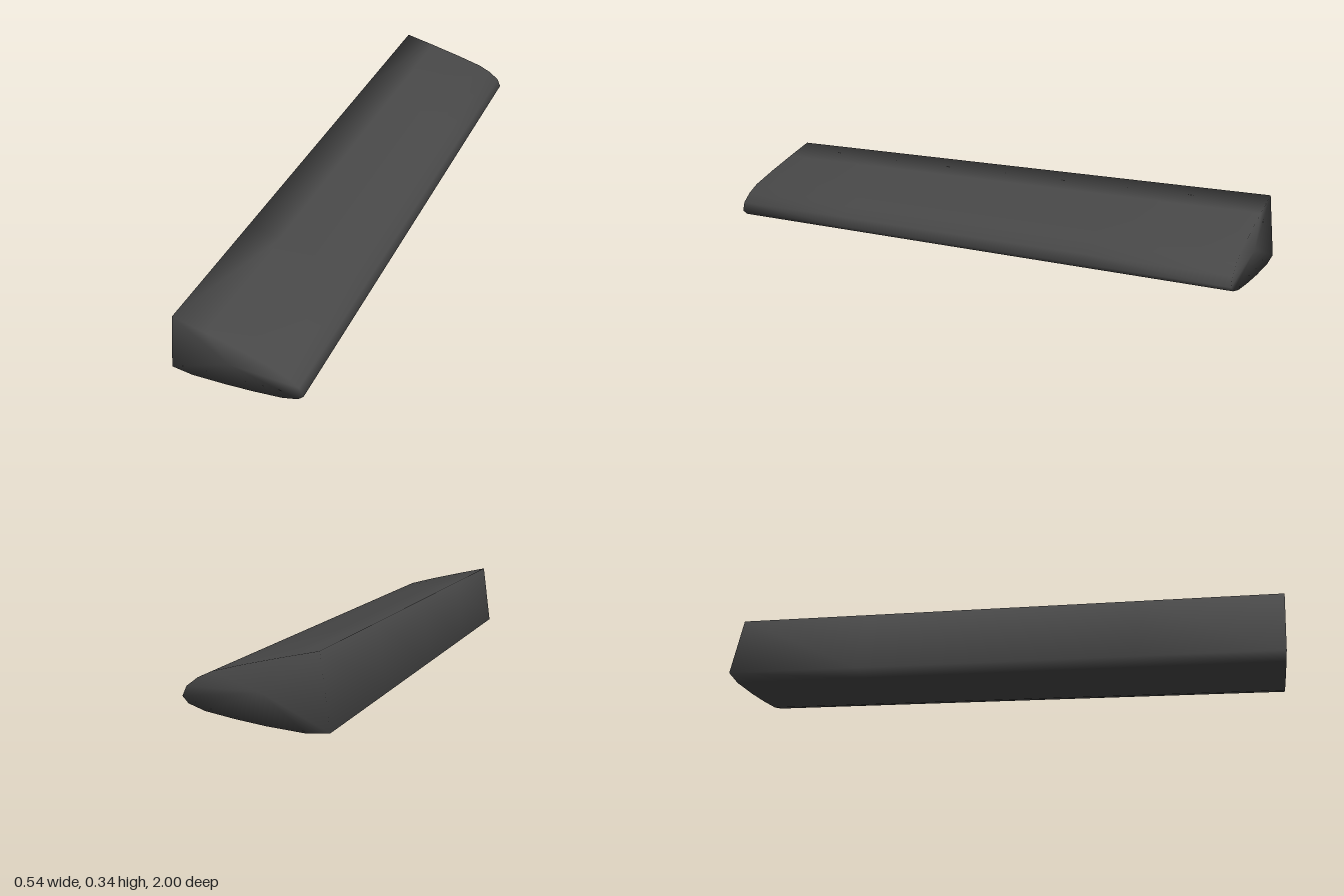
import * as THREE from 'three';

// Cross-section of the bar at its front end, counter-clockwise seen from +z:
// thick edge on the -x side, rounded thin edge on the +x side.
const PROFILE = [
  [-0.16, 0.24], [-0.197, 0.012], [-0.125, 0.003], [0, 0.01], [0.1, 0.02],
  [0.195, 0.033], [0.25, 0.05], [0.27, 0.07], [0.257, 0.101], [0.22, 0.13],
  [0.175, 0.152], [0.075, 0.181], [-0.045, 0.212],
];

// Sweep from the front end to the back end
const SWEEP = new THREE.Vector3(-0.075, 0.098, -1.978);
const STATIONS = [0, 0.25, 0.5, 0.75, 1];

// Point of the section at sweep position t; the ends lean square to the sweep
function sectionPoint([x, y], t) {
  return new THREE.Vector3(x, y, 0.978 + 0.08 * y - 0.02 * x).addScaledVector(SWEEP, t);
}

function createBarGeometry() {
  const n = PROFILE.length;
  const positions = [];
  const index = [];

  // Rings along the sweep
  for (const t of STATIONS) {
    for (const p of PROFILE) positions.push(...sectionPoint(p, t).toArray());
  }

  // Long sides
  for (let r = 0; r < STATIONS.length - 1; r++) {
    for (let i = 0; i < n; i++) {
      const j = (i + 1) % n;
      const a = r * n + i, b = r * n + j, c = a + n, d = b + n;
      index.push(a, c, b, b, c, d);
    }
  }

  // End caps share the outline vertices, so the shading rolls over the ends
  const front = positions.length / 3;
  const back = front + 1;
  const last = (STATIONS.length - 1) * n;
  const centre = [0.02, 0.105];
  positions.push(...sectionPoint(centre, 0).toArray(), ...sectionPoint(centre, 1).toArray());
  for (let i = 0; i < n; i++) {
    const j = (i + 1) % n;
    index.push(front, i, j, back, last + j, last + i);
  }

  const geometry = new THREE.BufferGeometry();
  geometry.setAttribute('position', new THREE.Float32BufferAttribute(positions, 3));
  geometry.setIndex(index);
  geometry.computeVertexNormals();
  return geometry;
}

export function createModel() {
  const group = new THREE.Group();
  group.name = 'taperedBar';
  const bar = new THREE.Mesh(
    createBarGeometry(),
    new THREE.MeshStandardMaterial({ color: 0x484848 })
  );
  bar.name = 'bar';
  group.add(bar);
  return group;
}
